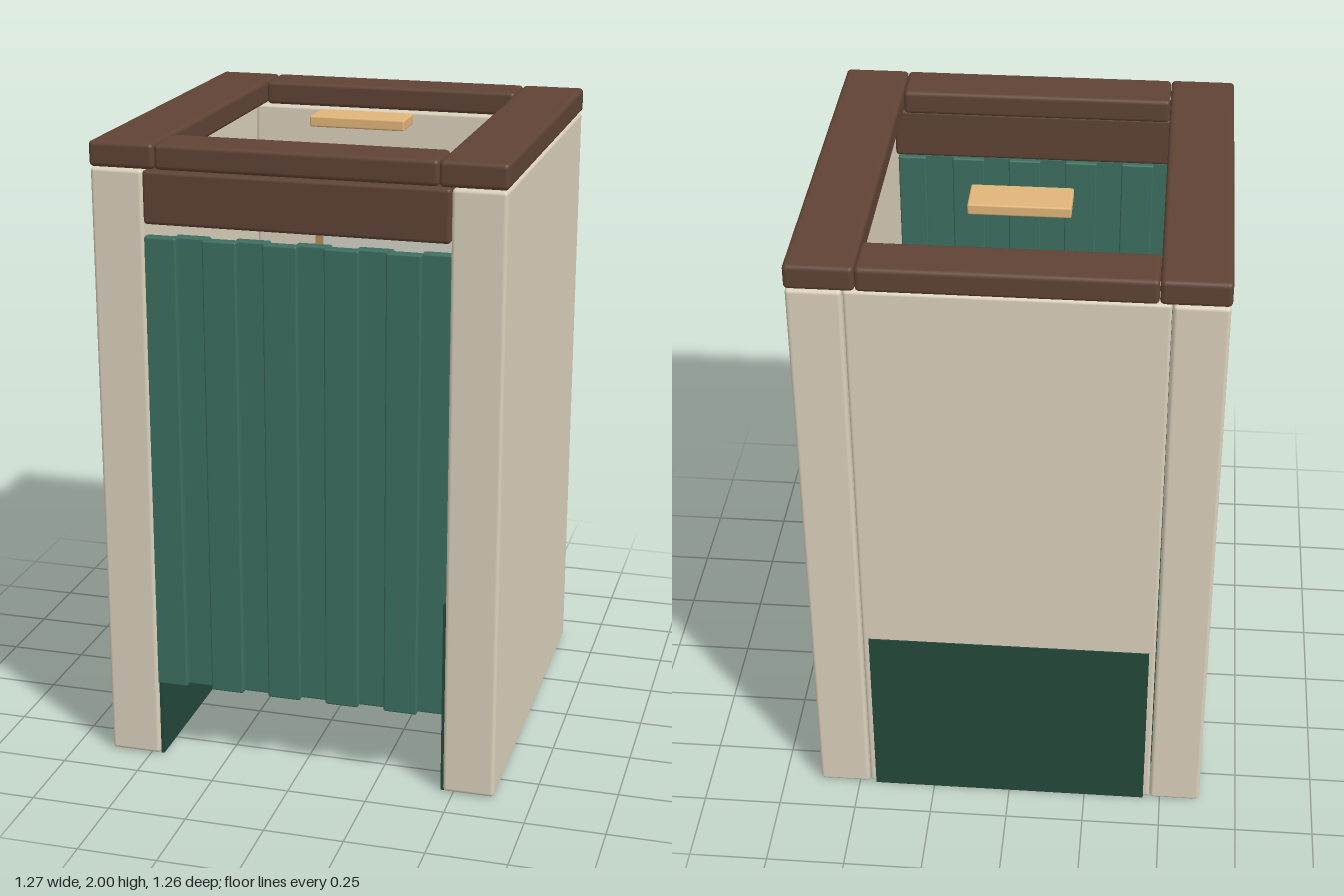
import * as THREE from 'three';
import { RoundedBoxGeometry } from 'three/addons/geometries/RoundedBoxGeometry.js';

const mat = (name, color) => {
  const m = new THREE.MeshStandardMaterial({ color });
  m.name = name;
  return m;
};

export function createModel() {
  const cream = mat('cream wall', 0xdad0bb);
  const brown = mat('dark wood', 0x5f4335);
  const curtainGreen = mat('curtain green', 0x3c6e5f);
  const darkGreen = mat('dark green panel', 0x23483a);
  const tan = mat('tan wood', 0xb98a58);
  const lampWood = mat('pale amber', 0xe0b478);
  const glass = mat('mirror glass', 0xd3d3c8);

  const model = new THREE.Group();
  model.name = 'changingBooth';

  // Box given by its limits on each axis, with optional rounded edges
  function box(name, material, [x0, x1], [y0, y1], [z0, z1], r = 0, parent = model) {
    const w = x1 - x0, h = y1 - y0, d = z1 - z0;
    const geo = r ? new RoundedBoxGeometry(w, h, d, 3, r) : new THREE.BoxGeometry(w, h, d);
    const mesh = new THREE.Mesh(geo, material);
    mesh.position.set((x0 + x1) / 2, (y0 + y1) / 2, (z0 + z1) / 2);
    mesh.name = name;
    parent.add(mesh);
    return mesh;
  }
  const span = (s, a, b) => (s > 0 ? [a, b] : [-b, -a]);

  // Walls
  box('backWall', cream, [-0.465, 0.465], [0.003, 1.92], [-0.625, -0.47], 0.01);
  for (const s of [1, -1]) {
    const side = s > 0 ? 'left' : 'right';
    box(side + 'Wall', cream, span(s, 0.468, 0.63), [0.003, 1.92], [-0.63, 0.63], 0.012);
    box(side + 'InnerPanel', darkGreen, span(s, 0.458, 0.469), [0, 0.63], [-0.47, 0.615]);
    box(side + 'TopRail', brown, span(s, 0.43, 0.633), [1.922, 2], [-0.632, 0.632], 0.014);
  }

  // Green lower panels on both faces of the back wall
  box('backOuterPanel', darkGreen, [-0.445, 0.445], [0, 0.63], [-0.629, -0.62]);
  box('backInnerPanel', darkGreen, [-0.46, 0.46], [0, 0.63], [-0.472, -0.463]);

  // Front and back rails, and the header over the doorway
  box('frontTopRail', brown, [-0.429, 0.429], [1.922, 2], [0.47, 0.63], 0.014);
  box('backTopRail', brown, [-0.429, 0.429], [1.922, 2], [-0.632, -0.475], 0.014);
  box('doorHeader', brown, [-0.47, 0.465], [1.755, 1.918], [0.5, 0.625], 0.012);

  // Curtain of alternating forward and recessed pleats
  const curtain = new THREE.Group();
  curtain.name = 'curtain';
  model.add(curtain);
  for (let i = 0; i < 10; i++) {
    const x = -0.424 + i * 0.0938, z = i % 2 ? 0.58 : 0.603;
    const half = i === 9 ? 0.046 : 0.053;
    box('pleat', curtainGreen, [x - half, x + half], [0.25, 1.717], [z - 0.018, z + 0.018], 0.006, curtain);
  }

  // Bench on two plank legs
  box('benchSeat', tan, [-0.333, 0.333], [0.41, 0.47], [-0.47, -0.2], 0.012);
  for (const s of [1, -1])
    box('benchLeg', brown, span(s, 0.242, 0.312), [0.003, 0.42], [-0.464, -0.23]);

  // Framed mirror on the back wall
  const mirror = new THREE.Group();
  mirror.name = 'mirror';
  model.add(mirror);
  const zFrame = [-0.472, -0.463];
  box('mirrorGlass', glass, [-0.235, 0.235], [0.77, 1.66], [-0.472, -0.467], 0, mirror);
  for (const s of [1, -1])
    box('mirrorStile', tan, span(s, 0.228, 0.256), [0.75, 1.68], zFrame, 0, mirror);
  for (const y of [0.75, 1.652])
    box('mirrorRail', tan, [-0.228, 0.228], [y, y + 0.028], zFrame, 0, mirror);

  // Coat hooks: a peg capped by a disc, one on each side of the mirror
  for (const s of [1, -1]) {
    const hook = new THREE.Group();
    hook.name = s > 0 ? 'leftHook' : 'rightHook';
    const peg = new THREE.Mesh(new THREE.CylinderGeometry(0.014, 0.014, 0.03, 16), tan);
    peg.name = 'peg';
    const cap = new THREE.Mesh(new THREE.CylinderGeometry(0.038, 0.038, 0.008, 24), tan);
    cap.name = 'cap';
    cap.position.y = 0.016;
    hook.add(peg, cap);
    hook.rotation.x = Math.PI / 2;
    hook.position.set(s * 0.362, 1.15, -0.463);
    model.add(hook);
  }

  // Slim overhead lamp
  box('overheadLamp', lampWood, [-0.155, 0.155], [1.935, 1.97], [-0.19, -0.062], 0.006);

  return model;
}
